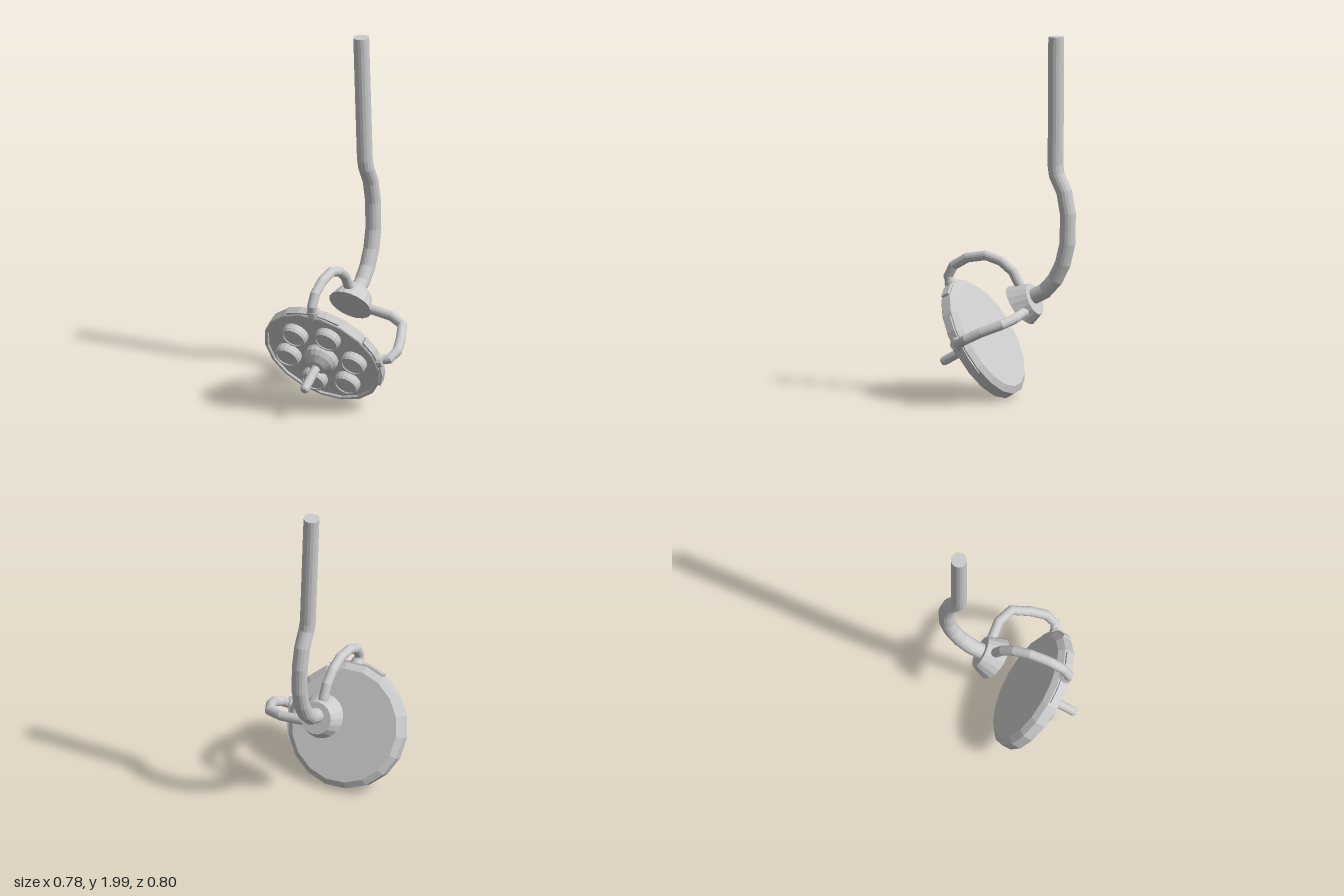
import * as THREE from 'three';

const material = new THREE.MeshStandardMaterial({ color: 0xcccccc, flatShading: true, side: THREE.DoubleSide });
const v3 = (p) => new THREE.Vector3(...p);
const v2 = (p) => new THREE.Vector2(...p);
const deg = THREE.MathUtils.degToRad;

function add(parent, name, geometry) {
  const mesh = new THREE.Mesh(geometry, material);
  mesh.name = name;
  parent.add(mesh);
  return mesh;
}

// Lathe turned so that its axis is z
function turned(profile, sides) {
  return new THREE.LatheGeometry(profile.map(v2), sides).rotateX(Math.PI / 2);
}

// Bent pipe whose rings sit exactly on the given points
function pipe(parent, name, points, radius) {
  const curve = new THREE.CatmullRomCurve3(points.map(v3));
  curve.getPointAt = curve.getPoint;
  curve.getTangentAt = curve.getTangent;
  const mesh = add(parent, name, new THREE.TubeGeometry(curve, points.length - 1, radius, 16));
  // Closed ends
  for (const [t, s] of [[0, -1], [1, 1]]) {
    const cap = add(mesh, name + 'Cap', new THREE.CircleGeometry(radius, 16));
    cap.position.copy(curve.getPoint(t));
    cap.quaternion.setFromUnitVectors(new THREE.Vector3(0, 0, 1), curve.getTangent(t).multiplyScalar(s));
  }
  return mesh;
}

// Raised curved plate on the rim of the lamp head
function rimPlate(centre, halfSpan) {
  const shape = new THREE.Shape();
  const steps = 4;
  for (let i = 0; i <= steps; i++) {
    const a = deg(centre - halfSpan + (2 * halfSpan * i) / steps);
    shape[i ? 'lineTo' : 'moveTo'](0.352 * Math.cos(a), 0.352 * Math.sin(a));
  }
  for (let i = steps; i >= 0; i--) {
    const a = deg(centre - halfSpan + (2 * halfSpan * i) / steps);
    shape.lineTo(0.32 * Math.cos(a), 0.32 * Math.sin(a));
  }
  return new THREE.ExtrudeGeometry(shape, { depth: 0.044, bevelEnabled: false }).translate(0, 0, -0.053);
}

export function createModel() {
  const model = new THREE.Group();
  model.name = 'ceilingLamp';

  // Ceiling stem
  pipe(model, 'stem', [
    [-0.046, 2, -0.268], [-0.026, 1.3, -0.272], [-0.022, 1.25, -0.28], [-0.019, 1.16, -0.325],
    [-0.016, 1.04, -0.348], [-0.013, 0.88, -0.346], [-0.012, 0.77, -0.32], [-0.013, 0.68, -0.275],
    [-0.014, 0.615, -0.215], [-0.015, 0.57, -0.13],
  ], 0.043);

  // Tapered joint with slightly unequal end tilts
  const ends = {
    back: { centre: [-0.014, 0.566, -0.155], tilt: deg(-66) },
    front: { centre: [-0.013, 0.528, -0.075], tilt: deg(-54) },
  };
  const joint = new THREE.CylinderGeometry(0.09, 0.122, 1, 18);
  const pos = joint.attributes.position;
  for (let i = 0; i < pos.count; i++) {
    const end = pos.getY(i) > 0 ? ends.back : ends.front;
    const p = new THREE.Vector3(pos.getX(i), 0, pos.getZ(i));
    p.applyAxisAngle(new THREE.Vector3(1, 0, 0), end.tilt).add(v3(end.centre));
    pos.setXYZ(i, p.x, p.y, p.z);
  }
  joint.computeVertexNormals();
  add(model, 'joint', joint);

  // Two arms from the joint to the rim
  pipe(model, 'upperArm', [
    [-0.016, 0.59, -0.085], [-0.016, 0.645, -0.062], [-0.017, 0.71, -0.025], [-0.018, 0.76, 0.04],
    [-0.019, 0.787, 0.13], [-0.02, 0.768, 0.24], [-0.021, 0.72, 0.32], [-0.023, 0.66, 0.35],
    [-0.025, 0.59, 0.33],
  ], 0.027);
  pipe(model, 'sideArm', [
    [0.03, 0.51, -0.13], [0.21, 0.487, -0.126], [0.3, 0.465, -0.085], [0.342, 0.425, 0.015],
    [0.362, 0.385, 0.095], [0.343, 0.355, 0.15], [0.27, 0.342, 0.172],
  ], 0.027);

  // Lamp head, tilted down towards the front
  const head = new THREE.Group();
  head.name = 'lampHead';
  head.position.set(-0.05, 0.305, 0.187);
  head.rotation.x = deg(30);
  model.add(head);

  const housing = add(head, 'housing', turned([
    [0, -0.085], [0.308, -0.085], [0.341, -0.06], [0.341, -0.005], [0.336, 0], [0.322, 0], [0.318, -0.012], [0, -0.012],
  ], 18));
  housing.rotation.z = deg(6);

  // Rim plates and collars where the arms attach
  for (const [centre, span, collarAngle] of [[86.5, 27, 85.5], [2, 30, 4.5]]) {
    add(head, 'rimPlate', rimPlate(centre, span));
    const a = deg(collarAngle);
    const collar = add(head, 'armCollar', new THREE.CylinderGeometry(0.03, 0.04, 0.025, 12));
    collar.position.set(0.357 * Math.cos(a), 0.357 * Math.sin(a), -0.032);
    collar.rotation.z = a - Math.PI / 2;
  }

  // Ring of six light pods
  const pod = turned([[0.072, -0.015], [0.072, 0.02], [0.066, 0.036], [0.058, 0.036], [0.056, 0.03], [0, 0.03]], 18);
  for (let i = 0; i < 6; i++) {
    const a = deg(4.5 + 60 * i);
    add(head, 'lightPod', pod).position.set(0.203 * Math.cos(a), 0.203 * Math.sin(a), 0);
  }

  // Central hub and grip
  add(head, 'hub', turned([[0.095, -0.015], [0.093, 0.02], [0.078, 0.045], [0.045, 0.072], [0.02, 0.08]], 18));
  add(head, 'handle', turned([[0.025, 0.06], [0.025, 0.232], [0.019, 0.242], [0, 0.245]], 12));

  return model;
}
